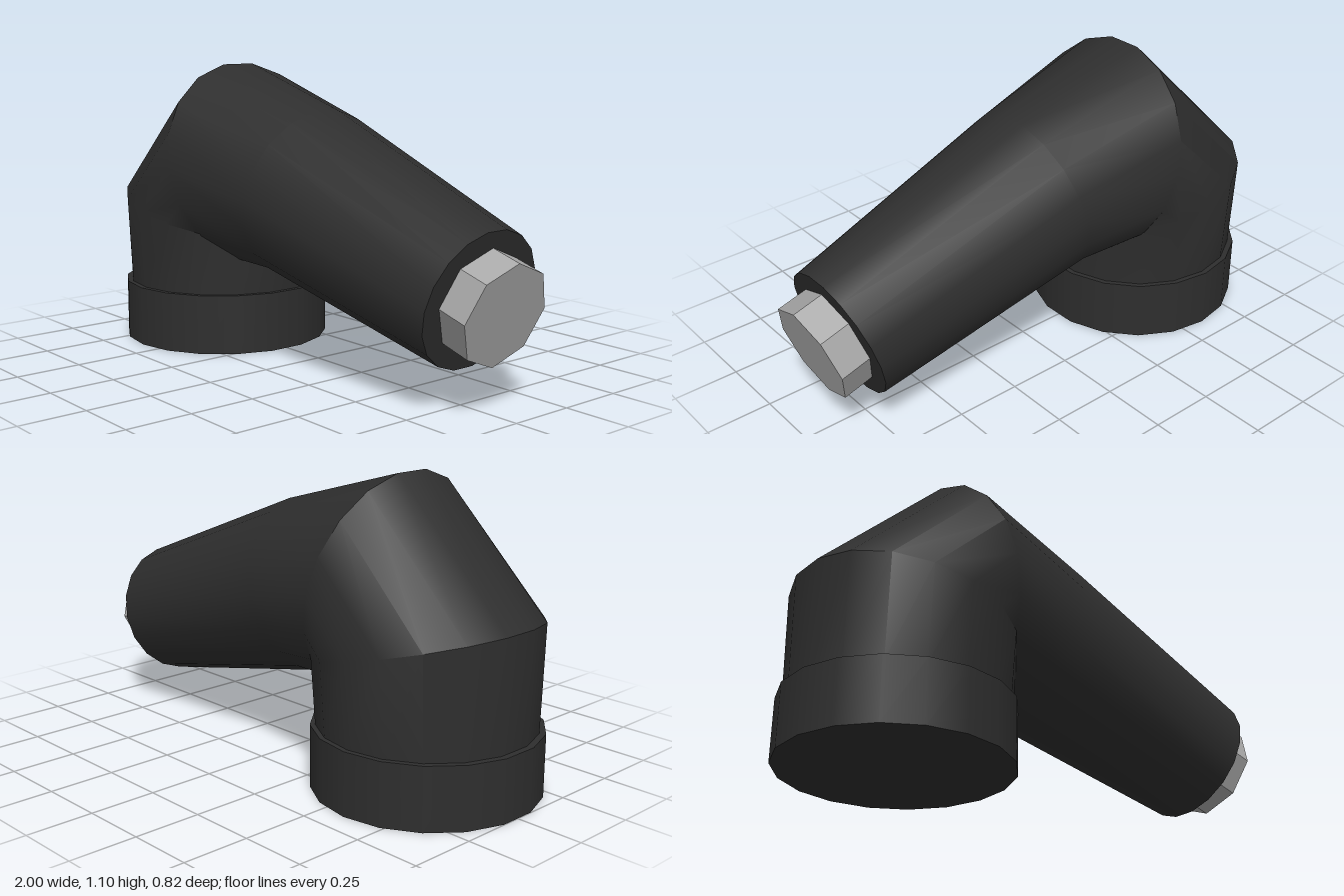
import * as THREE from 'three';
import { toCreasedNormals } from 'three/addons/utils/BufferGeometryUtils.js';

const SIDES = 18;

// Tube lofted through tilted rings; each ring is [outerX, outerY, innerX, innerY, halfWidth]
function loftTube(rings) {
  const pos = [], idx = [];
  const flat = Math.cos(Math.PI / SIDES);
  for (const [ox, oy, ix, iy, w] of rings) {
    for (let k = 0; k < SIDES; k++) {
      const a = ((k + 0.5) / SIDES) * Math.PI * 2;
      const c = Math.cos(a) / flat / 2;
      pos.push((ox + ix) / 2 + (ox - ix) * c, (oy + iy) / 2 + (oy - iy) * c, w * Math.sin(a));
    }
  }
  for (let r = 0; r < rings.length - 1; r++) {
    for (let k = 0; k < SIDES; k++) {
      const a = r * SIDES + k, b = r * SIDES + (k + 1) % SIDES;
      idx.push(a, b, b + SIDES, a, b + SIDES, a + SIDES);
    }
  }
  // flat cap on the last ring
  const last = (rings.length - 1) * SIDES;
  for (let k = 1; k < SIDES - 1; k++) idx.push(last, last + k, last + k + 1);
  const g = new THREE.BufferGeometry();
  g.setAttribute('position', new THREE.Float32BufferAttribute(pos, 3));
  g.setIndex(idx);
  return toCreasedNormals(g, 0.6);
}

export function createModel() {
  const group = new THREE.Group();
  const rubber = new THREE.MeshStandardMaterial({ color: 0x2e2e2e });
  rubber.name = 'black rubber';
  const metal = new THREE.MeshStandardMaterial({ color: 0xa8a8a8, flatShading: true });
  metal.name = 'grey metal';

  const add = (name, geometry, material) => {
    const mesh = new THREE.Mesh(geometry, material);
    mesh.name = name;
    group.add(mesh);
    return mesh;
  };

  // Collar the elbow stands in
  add('baseCollar', new THREE.CylinderGeometry(0.41, 0.41, 0.23, SIDES), rubber)
    .position.set(-0.595, 0.115, 0);

  // Upright, mitred bend and tapering arm
  add('elbowBody', loftTube([
    [-0.975, 0.22, -0.21, 0.22, 0.39],
    [-0.98, 0.63, -0.2, 0.44, 0.41],
    [-0.5, 1.1, -0.3, 0.33, 0.4],
    [0.05, 0.945, -0.11, 0.32, 0.325],
    [0.9, 0.615, 0.76, 0.13, 0.255],
  ]), rubber);

  // Octagonal terminal pushed into the arm's end
  const terminal = add('endTerminal', new THREE.CylinderGeometry(0.19, 0.19, 0.15, 8), metal);
  const tilt = THREE.MathUtils.degToRad(16.3);
  terminal.rotation.z = -Math.PI / 2 - tilt;
  terminal.position.set(0.871, 0.363, 0);

  return group;
}
